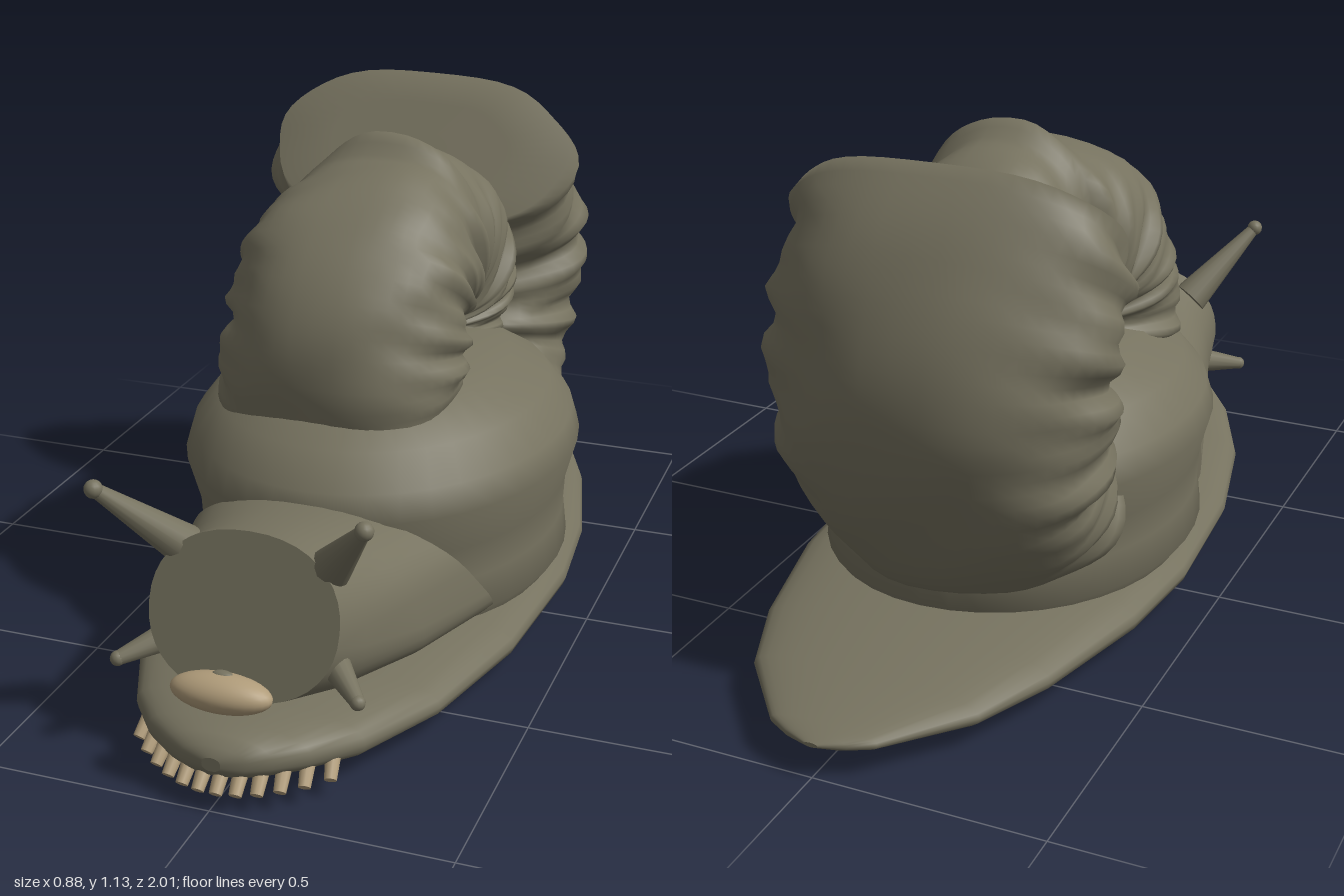
import * as THREE from 'three';

const V = (x, y, z) => new THREE.Vector3(x, y, z);

// Skin over closed rings of points, with flat caps on both ends
function loft(rings) {
  const n = rings[0].length, pos = [], idx = [];
  rings.forEach(r => r.forEach(p => pos.push(p.x, p.y, p.z)));
  for (let k = 0; k < rings.length - 1; k++) {
    for (let i = 0; i < n; i++) {
      const j = (i + 1) % n, a = k * n + i, b = k * n + j;
      idx.push(a, b, a + n, b, b + n, a + n);
    }
  }
  [rings[0], rings[rings.length - 1]].forEach((r, end) => {
    const c = pos.length / 3;
    [centre(r), ...r].forEach(p => pos.push(p.x, p.y, p.z));
    for (let i = 0; i < n; i++) {
      const u = c + 1 + i, v = c + 1 + (i + 1) % n;
      if (end) idx.push(c, u, v); else idx.push(c, v, u);
    }
  });
  const g = new THREE.BufferGeometry();
  g.setAttribute('position', new THREE.Float32BufferAttribute(pos, 3));
  g.setIndex(idx);
  g.computeVertexNormals();
  return g;
}

const centre = r => r.reduce((m, p) => m.add(p), V(0, 0, 0)).divideScalar(r.length);
const ring = (n, f) => Array.from({ length: n }, (_, i) => f(i / n * Math.PI * 2));
const soft = (v, e) => Math.sign(v) * Math.abs(v) ** e;

// Tapered rod between two points
function rod(p, q, r0, r1, sides = 14) {
  const d = q.clone().sub(p);
  const g = new THREE.CylinderGeometry(r1, r0, d.length(), sides);
  g.applyQuaternion(new THREE.Quaternion().setFromUnitVectors(V(0, 1, 0), d.normalize()));
  const m = p.clone().add(q).multiplyScalar(0.5);
  return g.translate(m.x, m.y, m.z);
}

// Linearly sample a table whose first column is the key
function sample(table, key) {
  let k = 0;
  while (k < table.length - 2 && key > table[k + 1][0]) k++;
  const a = table[k], b = table[k + 1];
  const t = THREE.MathUtils.clamp((key - a[0]) / (b[0] - a[0]), 0, 1);
  return a.map((v, i) => v + (b[i] - v) * t);
}

export function createModel() {
  const group = new THREE.Group();
  const skin = new THREE.MeshStandardMaterial({ color: 0x76725f });
  skin.name = 'olive skin';
  const tan = new THREE.MeshStandardMaterial({ color: 0xb09c7a });
  tan.name = 'tan';
  const add = (name, geo, mat = skin) => {
    const m = new THREE.Mesh(geo, mat);
    m.name = name;
    group.add(m);
    return m;
  };

  // Foot: z, half width, bottom, top
  const footRows = [
    [-1, 0.015, 0.07, 0.08], [-0.98, 0.07, 0.06, 0.09], [-0.95, 0.12, 0.052, 0.097],
    [-0.78, 0.26, 0.027, 0.117], [-0.6, 0.335, 0.01, 0.135], [-0.3, 0.41, 0, 0.145],
    [-0.05, 0.435, 0, 0.145], [0.3, 0.41, 0, 0.14], [0.6, 0.34, 0.01, 0.135],
    [0.8, 0.25, 0.02, 0.147], [0.9, 0.175, 0.04, 0.15], [0.95, 0.115, 0.052, 0.145],
    [0.975, 0.07, 0.065, 0.13], [0.985, 0.02, 0.08, 0.11],
  ];
  add('foot', loft(footRows.map(([z, w, b, t]) => ring(36, a =>
    V(w * Math.cos(a), (b + t) / 2 + (t - b) / 2 * soft(Math.sin(a), 0.8), z)))));

  // Domed body under the shell
  const profile = [[0.82, 0.06], [0.95, 0.14], [0.93, 0.22], [0.94, 0.3], [1, 0.4],
    [0.96, 0.46], [0.84, 0.53], [0.64, 0.59], [0.35, 0.63], [0, 0.64]];
  const dome = new THREE.LatheGeometry(profile.map(p => new THREE.Vector2(...p)), 40);
  dome.scale(0.442, 1, 0.535).translate(0, 0, -0.02);
  add('body', dome);

  // Neck and flat-faced head: top z, top y, bottom z, bottom y, half width, flare, squareness
  const headRows = [
    [0.48, 0.43, 0.23, 0.1, 0.32, 0.2, 0.4], [0.6, 0.455, 0.5, 0.105, 0.265, 0.15, 0.5],
    [0.7, 0.475, 0.72, 0.12, 0.22, 0.05, 0.75], [0.77, 0.495, 0.86, 0.165, 0.203, 0, 0.9],
  ];
  add('head', loft(headRows.map(([tz, ty, bz, by, w, f, q]) => ring(40, a => {
    const s = Math.sin(a), e = soft(s, s < 0 ? q : 0.9);
    return V(w * soft(Math.cos(a), s < 0 ? q : 0.9) * (1 - f * e),
      (ty + by) / 2 + (ty - by) / 2 * e, (tz + bz) / 2 + (tz - bz) / 2 * e);
  }))));

  // Coiled shell: turn in degrees, inner radius, outer radius, half width, x centre
  const coil = [
    [0, 0.01, 0.33, 0.19, 0], [60, 0.01, 0.385, 0.23, 0], [95, 0.02, 0.42, 0.215, 0],
    [108, 0.02, 0.43, 0.205, 0], [115, 0.02, 0.475, 0.205, 0], [121, 0.02, 0.435, 0.235, -0.01],
    [150, 0.05, 0.455, 0.265, -0.03], [200, 0.08, 0.48, 0.27, -0.03],
    [240, 0.13, 0.46, 0.28, -0.03], [290, 0.15, 0.47, 0.29, -0.03],
    [335, 0.15, 0.61, 0.33, -0.04], [380, 0.18, 0.64, 0.37, -0.05],
    [410, 0.22, 0.65, 0.375, -0.05], [430, 0.26, 0.665, 0.37, -0.055],
  ];
  const steps = 150, rings = [];
  for (let k = 0; k <= steps; k++) {
    const turn = 430 * k / steps;
    const [, rin, rout, hx, cx] = sample(coil, turn);
    const th = THREE.MathUtils.degToRad(200 - turn);
    rings.push(ring(48, a => {
      const c = Math.cos(a), s = Math.sin(a);
      // Lumps outside, deeper pleats along the sides and the inner curve
      const lump = 0.016 * Math.sin(th * 9 + 3 * a) + 0.016 * Math.sin(th * 5 - 4 * a)
        + 0.01 * Math.sin(th * 14 + 7 * a);
      const side = c * c * (0.03 * Math.sin(th * 19 + c) + 0.03 * Math.sin(th * 31 + 5 * c));
      const pleat = s < 0 ? 0.06 * s * s * Math.sin(th * 17 + 2 * c) : 0;
      const f = 1 + lump + side + pleat;
      const r = (rin + rout) / 2 + (rout - rin) / 2 * s * (1 + lump + pleat);
      return V(cx + hx * soft(c, 0.85) * f, 0.62 + r * Math.sin(th), -0.1 + r * Math.cos(th));
    }));
  }
  // Close the wide end with shrinking rings so it shades softly
  const rim = rings[steps], hub = centre(rim);
  for (const t of [0.4, 0.8]) rings.push(rim.map(p => p.clone().lerp(hub, t)));
  add('shell', loft(rings));

  // Eye stalks and feelers, mirrored
  for (const s of [1, -1]) {
    const side = s > 0 ? 'left' : 'right';
    const tip = V(s * 0.278, 0.59, 0.88);
    add(side + 'EyeStalk', rod(V(s * 0.155, 0.425, 0.74), tip, 0.044, 0.014));
    add(side + 'Eye', new THREE.SphereGeometry(0.019, 14, 10).translate(tip.x, tip.y, tip.z));
    const end = V(s * 0.256, 0.213, 0.86);
    add(side + 'Feeler', rod(V(s * 0.17, 0.242, 0.77), end, 0.033, 0.015));
    add(side + 'FeelerTip', new THREE.SphereGeometry(0.016, 12, 8).translate(end.x, end.y, end.z));
  }

  // Mouth, with a small knob on top
  add('mouth', new THREE.SphereGeometry(1, 28, 18).scale(0.107, 0.039, 0.046)
    .translate(0, 0.222, 0.927), tan);
  add('mouthKnob', new THREE.SphereGeometry(1, 14, 10).scale(0.022, 0.008, 0.012)
    .translate(0, 0.257, 0.918));

  // Row of small pegs along the front edge of the foot
  for (let i = 0; i < 12; i++) {
    const x = -0.207 + i * 0.0365, z = 1 - 3.2 * x * x;
    add('tooth', rod(V(x, 0.078, z - 0.048), V(x * 1.05, 0.038, z - 0.003), 0.017, 0.013, 10), tan);
  }

  return group;
}
